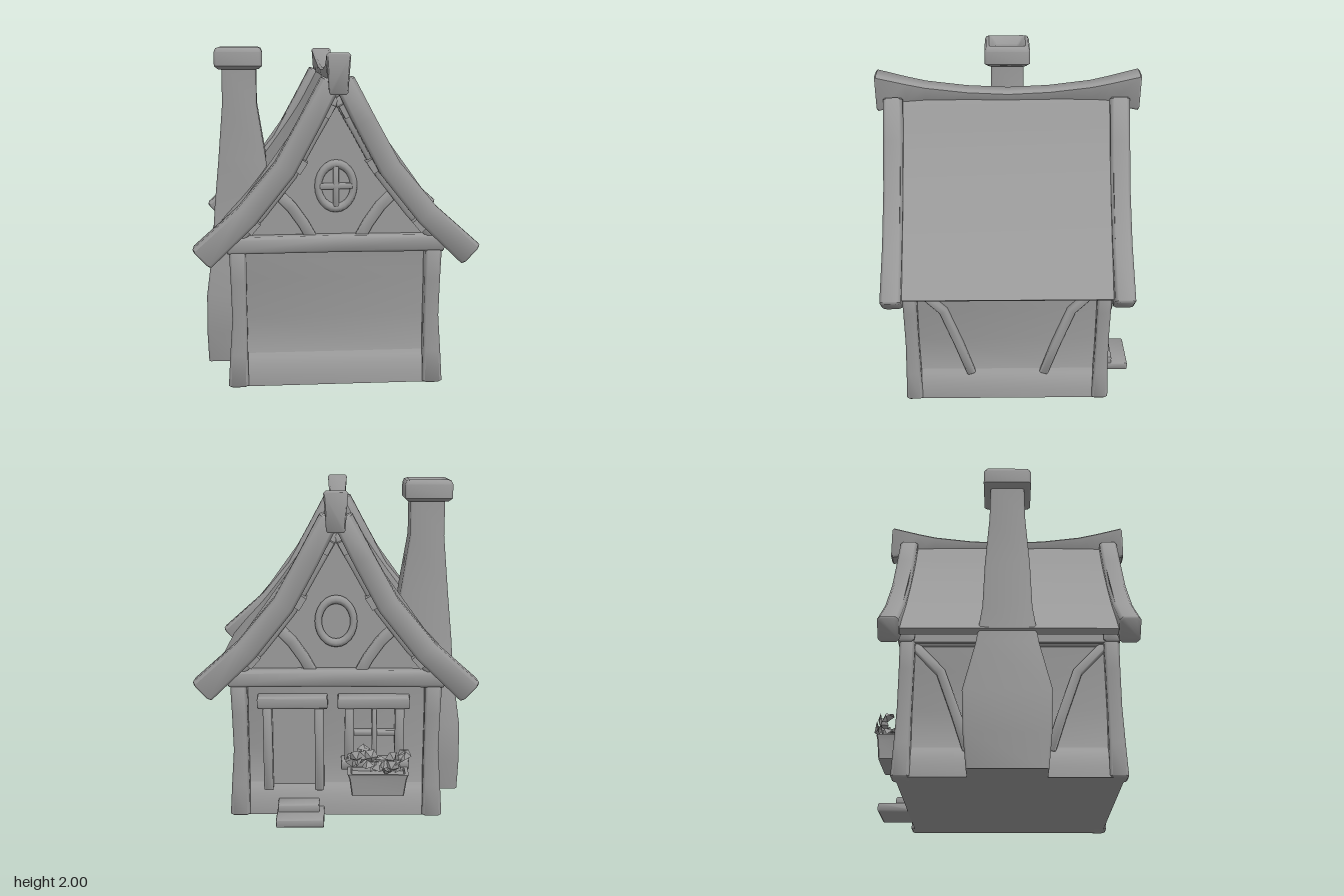
import * as THREE from 'three';
import { toCreasedNormals } from 'three/addons/utils/BufferGeometryUtils.js';

const V = (x, y, z) => new THREE.Vector3(x, y, z);

// Skin a list of equal-length closed rings, capped at both ends, outward facing.
function loft(rings, crease = 0.7) {
  const n = rings[0].length, tris = [];
  for (let i = 0; i + 1 < rings.length; i++) {
    for (let j = 0; j < n; j++) {
      const k = (j + 1) % n, a = rings[i], b = rings[i + 1];
      tris.push([a[j], a[k], b[k]], [a[j], b[k], b[j]]);
    }
  }
  const first = rings[0], last = rings[rings.length - 1];
  for (let j = 1; j + 1 < n; j++) {
    tris.push([first[0], first[j + 1], first[j]], [last[0], last[j], last[j + 1]]);
  }
  const o = first[0];
  let volume = 0;
  for (const [a, b, c] of tris) {
    volume += a.clone().sub(o).dot(b.clone().sub(o).cross(c.clone().sub(o)));
  }
  const pts = tris.flatMap(([a, b, c]) => (volume < 0 ? [a, c, b] : [a, b, c]));
  return toCreasedNormals(new THREE.BufferGeometry().setFromPoints(pts), crease);
}

// Chamfered rectangle outline with half sizes a, b and chamfer c.
const chamfered = (a, b, c) =>
  [[a, b - c], [a - c, b], [c - a, b], [-a, b - c], [-a, c - b], [c - a, -b], [a - c, -b], [a, c - b]];

// Horizontal chamfered ring centred on (cx, cz).
const ringAt = (cx, y, cz, hx, hz, c) => chamfered(hx, hz, c).map(([x, z]) => V(cx + x, y, cz + z));

// Timber with chamfered edges along a path; sizes are [along side, across] per point.
function beam(path, sizes, side) {
  const rings = [];
  const add = (p, s, t, shrink) => {
    const n = side.clone().cross(t).normalize();
    rings.push(chamfered(s[0] / 2 - shrink, s[1] / 2 - shrink, Math.min(s[0], s[1]) * 0.15)
      .map(([u, v]) => p.clone().addScaledVector(side, u).addScaledVector(n, v)));
  };
  path.forEach((p, i) => {
    const t = path[Math.min(i + 1, path.length - 1)].clone().sub(path[Math.max(i - 1, 0)]).normalize();
    const s = Array.isArray(sizes[0]) ? sizes[i] : sizes;
    const e = Math.min(s[0], s[1]) * 0.08;
    if (i === 0) { add(p, s, t, e); add(p.clone().addScaledVector(t, e), s, t, 0); }
    else if (i === path.length - 1) { add(p.clone().addScaledVector(t, -e), s, t, 0); add(p, s, t, e); }
    else add(p, s, t, 0);
  });
  return loft(rings, 0.9);
}

export function createModel() {
  const house = new THREE.Group();
  house.name = 'cottage';
  const grey = new THREE.MeshStandardMaterial({ color: 0x999999, side: THREE.DoubleSide });
  grey.name = 'clay grey';
  const put = (name, geometry, parent = house) => {
    const m = new THREE.Mesh(geometry, grey);
    m.name = name;
    parent.add(m);
    return m;
  };
  const box = (name, w, h, d, x, y, z) => {
    const m = put(name, new THREE.BoxGeometry(w, h, d));
    m.position.set(x, y, z);
    return m;
  };
  const X = V(1, 0, 0), Y = V(0, 1, 0), Z = V(0, 0, 1);

  // Walls: storey above a flared foot
  put('walls', loft([[0, 0.632, 0.625], [0.06, 0.626, 0.62], [0.12, 0.612, 0.605], [0.165, 0.59, 0.59], [0.19, 0.57, 0.57],
    [0.42, 0.562, 0.56], [0.65, 0.565, 0.563], [0.83, 0.577, 0.57]]
    .map(([y, hx, hz]) => ringAt(0, y, 0.014, hx, hz, 0.01)), 0.9));

  // Gable block under the roof
  const gable = new THREE.Shape();
  gable.moveTo(-0.62, 0.82);
  [[0.62, 0.82], [0.62, 0.93], [0.5, 1.05], [0.27, 1.33], [0.03, 1.77], [-0.03, 1.77], [-0.27, 1.33], [-0.5, 1.05], [-0.62, 0.93]]
    .forEach(([x, y]) => gable.lineTo(x, y));
  const gableGeo = new THREE.ExtrudeGeometry(gable, { depth: 1.165, bevelEnabled: false });
  gableGeo.translate(0, 0, -0.57);
  put('gables', gableGeo);

  // Roof: two curved slabs
  const slope = new THREE.SplineCurve([[0.02, 1.86], [0.06, 1.795], [0.165, 1.6], [0.325, 1.365], [0.51, 1.12], [0.66, 0.955], [0.757, 0.84]]
    .map(([x, y]) => new THREE.Vector2(x, y))).getPoints(18);
  for (const s of [-1, 1]) {
    put('roofSlope', loft([-0.63, 0.65].map((z) => [
      ...slope.map((p) => V(s * p.x, p.y, z)),
      ...slope.map((p) => V(s * (p.x - 0.03), p.y - 0.025, z)).reverse(),
    ]), 0.7));
  }

  // Ridge beam: sagging, with tall flared ends, wider at the top
  const ridgeHalf = [[0.8, 1.76, 1.972, 0.06], [0.79, 1.75, 1.98, 0.068], [0.62, 1.785, 1.938, 0.061],
    [0.5, 1.8, 1.912, 0.057], [0.25, 1.8, 1.882, 0.055]];
  const ridge = [...ridgeHalf, [0, 1.79, 1.87, 0.055], ...ridgeHalf.map(([z, ...r]) => [-z, ...r]).reverse()];
  put('ridgeBeam', loft(ridge.map(([z, low, high, w]) => chamfered(w, (high - low) / 2, 0.013)
    .map(([x, y]) => V(x * (y < 0 ? 0.78 : 1), (low + high) / 2 + y, z))), 0.8));

  // Bargeboards, inner rafters, purlin pegs, gable braces
  for (const end of [-1, 1]) {
    const z = (d) => 0.01 + end * d;
    for (const s of [-1, 1]) {
      const line = (pts, d) => pts.map(([x, y]) => V(s * x, y, z(d)));
      put('bargeboard', beam(line([[0.035, 1.825], [0.155, 1.595], [0.3, 1.33], [0.52, 1.06], [0.782, 0.817]], 0.685),
        [[0.118, 0.12], [0.118, 0.125], [0.118, 0.13], [0.118, 0.138], [0.122, 0.152]], Z));
      put('innerRafter', beam(line([[0.01, 1.73], [0.13, 1.52], [0.26, 1.285], [0.44, 1.055], [0.58, 0.905]], 0.605), [0.07, 0.07], Z));
      for (const [x, y, a] of [[0.05, 1.655, 1.08], [0.21, 1.34, 1.0], [0.485, 0.99, 0.85]]) {
        const peg = box('purlinPeg', 0.08, 0.05, 0.15, s * x, y, z(0.615));
        peg.rotation.z = -s * a;
      }
      put('gableBrace', beam(line([[0.34, 1.17], [0.26, 1.09], [0.19, 0.99], [0.13, 0.88]], 0.588), [0.05, 0.065], Z));

      // Corner posts
      const zc = end > 0 ? 0.607 : -0.582;
      put('cornerPost', beam([0, 0.2, 0.42, 0.65, 0.84].map((y, i) => V(s * [0.585, 0.58, 0.572, 0.575, 0.577][i], y, zc)),
        [[0.12, 0.105], [0.105, 0.092], [0.088, 0.082], [0.092, 0.085], [0.1, 0.09]], X));

      // Angled side braces
      put('sideBrace', beam([[0.56, 0.82], [0.395, 0.645], [0.3, 0.38], [0.23, 0.165]]
        .map(([d, y]) => V(s * 0.57, y, 0.01 + end * d)), [0.055, 0.055], X));
    }
    put('tieBeam', beam([V(-0.64, 0.87, z(0.6)), V(0, 0.875, z(0.605)), V(0.64, 0.87, z(0.6))], [0.1, 0.1], Y));
    const ring = put('roundWindowFrame', new THREE.TorusGeometry(0.104, 0.021, 8, 24));
    ring.scale.set(1, 1.25, 1);
    ring.position.set(0, 1.21, z(0.593));
  }
  put('roundWindowBar', beam([V(0, 1.09, 0.603), V(0, 1.33, 0.603)], [0.035, 0.035], X));
  put('roundWindowBar', beam([V(-0.1, 1.21, 0.603), V(0.1, 1.21, 0.603)], [0.035, 0.035], Y));

  // Side eave beams
  for (const s of [-1, 1]) {
    put('eaveBeam', beam([V(s * 0.57, 0.85, -0.58), V(s * 0.57, 0.85, 0.6)], [0.08, 0.06], Y));
  }

  // Chimney: broad foot, tapering shaft, hollow cap
  put('chimney', loft([[0, -0.79, -0.5, 0.22], [0.2, -0.795, -0.48, 0.24], [0.45, -0.79, -0.46, 0.25], [0.76, -0.75, -0.43, 0.18],
    [1.0, -0.735, -0.38, 0.145], [1.3, -0.705, -0.405, 0.135], [1.65, -0.675, -0.46, 0.11], [1.9, -0.675, -0.46, 0.105]]
    .map(([y, a, b, hz]) => ringAt((a + b) / 2, y, 0, (b - a) / 2, hz, 0.012)), 1));
  put('chimneyCap', loft([[1.865, 0.125], [1.885, 0.148], [1.97, 0.148], [1.993, 0.138], [2, 0.12], [1.985, 0.1], [1.95, 0.078], [1.92, 0.074]]
    .map(([y, h]) => ringAt(-0.57, y, 0, h, h, h * 0.1)), 0.8));

  // Back door and window frames
  const upright = (name, x, y0, y1, w = 0.055) =>
    put(name, beam([V(x, y0, -0.58), V(x, y1, -0.58)], [w, 0.08], X));
  const rail = (name, x0, x1, y, h = 0.075) =>
    put(name, beam([V(x0, y, -0.58), V(x1, y, -0.58)], [h, 0.1], Y));
  upright('doorPost', 0.41, 0.16, 0.7);
  upright('doorPost', 0.1, 0.16, 0.7);
  rail('doorLintel', 0.05, 0.47, 0.72);
  box('doorLeaf', 0.27, 0.6, 0.02, 0.255, 0.39, -0.553);
  upright('windowPost', -0.08, 0.32, 0.7);
  upright('windowPost', -0.38, 0.32, 0.7);
  rail('windowLintel', -0.44, -0.01, 0.72);
  rail('windowSill', -0.44, -0.03, 0.33, 0.06);
  upright('windowBar', -0.23, 0.33, 0.68, 0.03);
  put('windowBar', beam([V(-0.38, 0.52, -0.565), V(-0.08, 0.52, -0.565)], [0.03, 0.05], Y));

  // Door step
  put('lowerStep', beam([V(0.07, 0.026, -0.69), V(0.355, 0.026, -0.69)], [0.052, 0.215], Y));
  put('upperStep', beam([V(0.1, 0.07, -0.635), V(0.35, 0.07, -0.635)], [0.06, 0.11], Y));

  // Flower box with crumpled blossoms and leaves
  put('flowerBox', loft([[0.18, 0.155, 0.05], [0.29, 0.17, 0.06], [0.32, 0.18, 0.067], [0.32, 0.16, 0.05], [0.3, 0.155, 0.047]]
    .map(([y, hx, hz]) => ringAt(-0.25, y, -0.69, hx, hz, 0.006)), 0.4));
  let seed = 7;
  const rnd = () => (seed = (seed * 16807) % 2147483647) / 2147483647;
  const flowers = new THREE.Group();
  flowers.name = 'flowers';
  house.add(flowers);
  for (let i = 0; i < 28; i++) {
    const leaf = i % 2;
    const geo = new THREE.ConeGeometry(leaf ? 0.042 : 0.044, leaf ? 0.015 : 0.035, leaf ? 4 : 5, 1, true).toNonIndexed();
    geo.computeVertexNormals();
    const m = put(leaf ? 'leaf' : 'blossom', geo, flowers);
    m.position.set(-0.405 + 0.29 * (i / 27) + 0.03 * rnd(), 0.34 + 0.11 * rnd(), -0.675 - 0.1 * rnd());
    m.rotation.set(-2.2 * rnd(), rnd() * 6, rnd() * 2 - 1);
    if (leaf) m.scale.z = 0.55;
  }
  return house;
}
